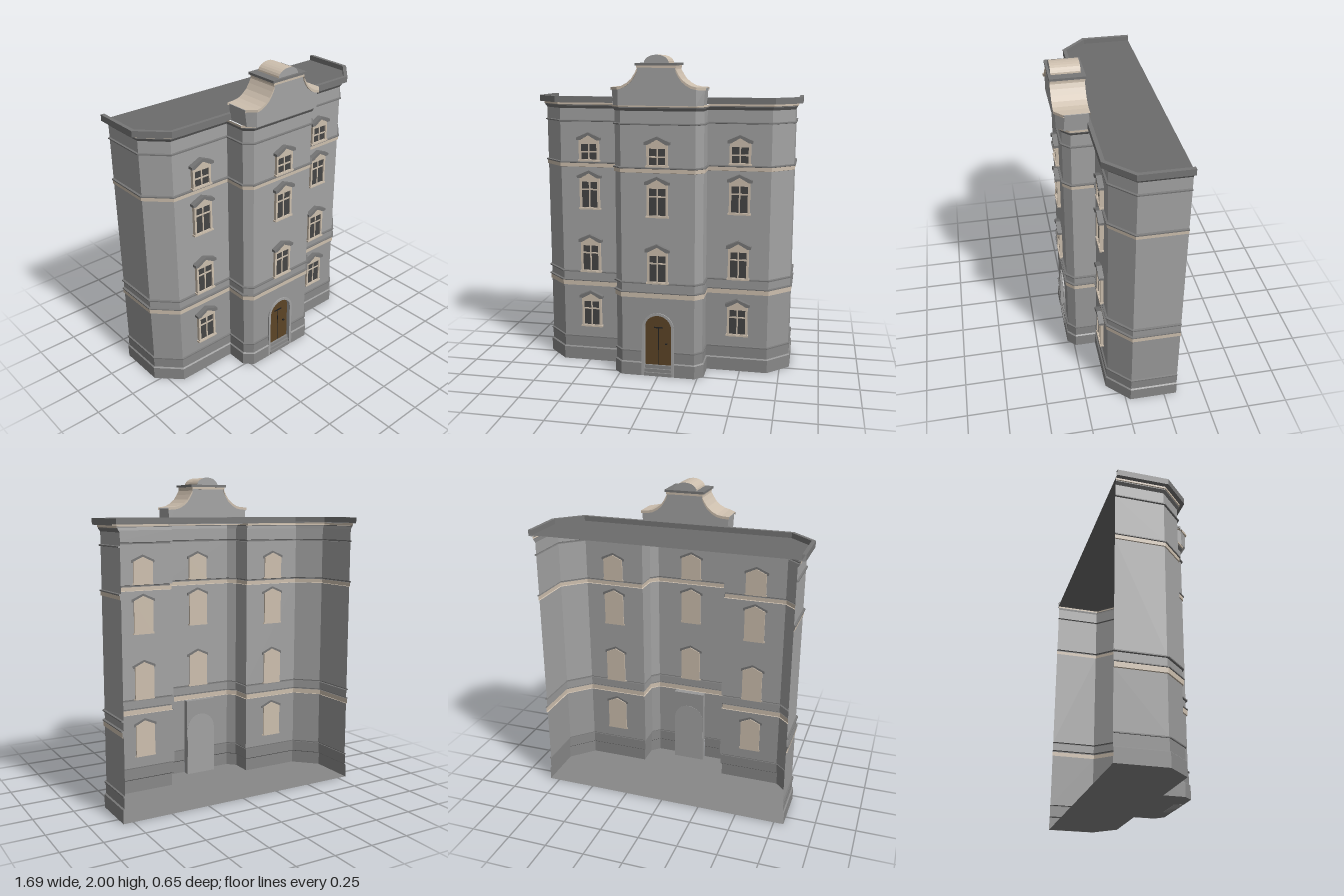
import * as THREE from 'three';

const mat = (color) => new THREE.MeshStandardMaterial({ color, flatShading: true, side: THREE.DoubleSide });
const M = {
  wall: mat(0xa3a3a3), lower: mat(0x999999), base: mat(0x888888), roof: mat(0x6c6c6c),
  trim: mat(0xcdbfae), dark: mat(0x777777), glass: mat(0x444444), door: mat(0x5c4426), metal: mat(0x222222),
};
const mirror = (half) => [...half, ...half.map(([x, z]) => [-x, z]).reverse()];

// Half plans as [x, z], running from the open back towards the front
const BACK = -0.33, WALL_Z = 0.095, BAY_Z = 0.28;
const mainHalf = [[0.8, BACK], [0.8, -0.035], [0.67, WALL_Z]];
const bayHalf = [...mainHalf, [0.275, WALL_Z], [0.275, 0.235], [0.23, BAY_Z]];
const mainPlan = mirror(mainHalf), fullPlan = mirror(bayHalf);
const doorRight = [...bayHalf, [0.105, BAY_Z]];
const doorLeft = doorRight.map(([x, z]) => [-x, z]).reverse();

// Plan moved outwards by d with mitred corners
function offset(path, d) {
  const normals = path.slice(1).map(([x, z], i) => {
    const dx = x - path[i][0], dz = z - path[i][1], l = Math.hypot(dx, dz);
    return [dz / l, -dx / l];
  });
  return path.map(([x, z], i) => {
    const a = normals[Math.max(0, i - 1)], b = normals[Math.min(i, normals.length - 1)];
    const k = d / (1 + a[0] * b[0] + a[1] * b[1]);
    return [x + (a[0] + b[0]) * k, z + (a[1] + b[1]) * k];
  });
}

// Surface through rows of 3D points
function ribbon(rows) {
  const pos = [];
  for (let j = 0; j + 1 < rows.length; j++)
    for (let i = 0; i + 1 < rows[j].length; i++) {
      const a = rows[j][i], b = rows[j][i + 1], c = rows[j + 1][i + 1], d = rows[j + 1][i];
      pos.push(...a, ...d, ...c, ...a, ...c, ...b);
    }
  const g = new THREE.BufferGeometry();
  g.setAttribute('position', new THREE.Float32BufferAttribute(pos, 3));
  g.computeVertexNormals();
  return g;
}

// Profile of [offset, y] carried along a plan
const sweep = (path, profile) =>
  ribbon(profile.map(([d, y]) => offset(path, d).map(([x, z]) => [x, y, z])));

function add(parent, name, geometry, material, x = 0, y = 0, z = 0) {
  const m = new THREE.Mesh(geometry, material);
  m.name = name;
  m.position.set(x, y, z);
  parent.add(m);
  return m;
}
const box = (w, h, d) => new THREE.BoxGeometry(w, h, d);
const poly = (pts) => new THREE.Shape(pts.map(([x, y]) => new THREE.Vector2(x, y)));
const extrude = (shape, depth) => new THREE.ExtrudeGeometry(shape, { depth, bevelEnabled: false, curveSegments: 8 });
const slab = (path, y) => new THREE.ShapeGeometry(poly(path.map(([x, z]) => [x, -z]))).rotateX(-Math.PI / 2).translate(0, y, 0);

// Window with sill, glazing bars and pointed hood; h is the height up to the hood
function makeWindow(h) {
  const g = new THREE.Group();
  g.name = 'window';
  const w = 0.065, top = h + 0.05;
  const outline = [[-w, 0], [w, 0], [w, h + 0.02], [0, top], [-w, h + 0.02]];
  add(g, 'windowPanel', extrude(poly(outline), 0.02), M.trim, 0, 0, -0.012);
  const frame = poly(outline);
  frame.holes.push(poly([[-0.051, 0.014], [-0.051, h - 0.01], [0.051, h - 0.01], [0.051, 0.014]]));
  add(g, 'windowFrame', extrude(frame, 0.01), M.trim, 0, 0, 0.008);
  add(g, 'glass', box(0.102, h - 0.02, 0.002), M.glass, 0, h / 2, 0.0085);
  add(g, 'mullion', box(0.009, h - 0.02, 0.006), M.trim, 0, h / 2, 0.011);
  add(g, 'transom', box(0.102, 0.009, 0.006), M.trim, 0, h - 0.06, 0.011);
  add(g, 'sill', box(0.142, 0.01, 0.03), M.trim, 0, 0.005, 0.007);
  const hood = poly([[-0.078, h + 0.014], [-0.055, h + 0.014], [0, h + 0.046], [0.055, h + 0.014], [0.078, h + 0.014],
    [0.078, h + 0.03], [0, h + 0.064], [-0.078, h + 0.03]]);
  add(g, 'windowHood', extrude(hood, 0.036), M.dark, 0, 0, -0.006);
  return g;
}

const archShape = (w, y0, spring) => {
  const s = new THREE.Shape();
  s.moveTo(-w, y0); s.lineTo(w, y0); s.lineTo(w, spring);
  s.absarc(0, spring, w, 0, Math.PI, false);
  s.lineTo(-w, y0);
  return s;
};

function makeDoor() {
  const g = new THREE.Group();
  g.name = 'entrance';
  const infill = poly([[-0.105, 0], [0.105, 0], [0.105, 0.515], [-0.105, 0.515]]);
  infill.holes.push(archShape(0.088, 0.001, 0.315));
  add(g, 'doorWall', extrude(infill, 0.04), M.lower, 0, 0, BAY_Z - 0.04);
  const ring = archShape(0.102, 0.0, 0.315);
  ring.holes.push(archShape(0.086, 0.001, 0.315));
  add(g, 'doorSurround', extrude(ring, 0.05), M.wall, 0, 0, 0.238);
  add(g, 'door', extrude(archShape(0.087, 0.06, 0.315), 0.01), M.door, 0, 0, 0.25);
  add(g, 'doorBack', extrude(archShape(0.1, 0.0, 0.315), 0.008), M.wall, 0, 0, 0.238);
  add(g, 'doorSeam', box(0.004, 0.25, 0.003), M.metal, 0, 0.19, 0.26);
  add(g, 'doorTransom', box(0.06, 0.008, 0.006), M.metal, 0, 0.315, 0.261);
  add(g, 'doorHandle', box(0.012, 0.008, 0.012), M.metal, 0.05, 0.21, 0.264);
  for (let i = 0; i < 3; i++) {
    const d = 0.052 - i * 0.01;
    add(g, 'step', box(0.176, 0.022, d), M.base, 0, 0.011 + i * 0.022, 0.24 + d / 2);
  }
  return g;
}

// Curved gable over the bay, with chamfered front corners
function makeGable() {
  const g = new THREE.Group();
  g.name = 'gable';
  const half = [[0.283, 1.805], [0.235, 1.808], [0.205, 1.815], [0.175, 1.832], [0.148, 1.855], [0.128, 1.885], [0.115, 1.91], [0.112, 1.935]];
  const top = mirror(half), rear = 0.13;
  const front = (x) => 0.312 - Math.max(0, Math.abs(x) - 0.235);
  const foot = (x) => Math.sign(x) * Math.min(Math.abs(x), 0.275);
  add(g, 'gableBody', ribbon([
    top.map(([x]) => [foot(x), 1.705, rear]),
    top.map(([x, y]) => [x, y, rear]),
    top.map(([x, y]) => [x, y, front(x)]),
    top.map(([x]) => [foot(x), 1.705, front(x)]),
  ]), M.wall);
  for (const s of [-1, 1])
    add(g, 'gableSide', ribbon([
      [[s * 0.275, 1.705, rear], [s * 0.275, 1.705, front(0.275)]],
      [[s * 0.283, 1.805, rear], [s * 0.283, 1.805, front(0.283)]],
    ]), M.wall);
  const lip = (dy, z) => top.map(([x, y]) => [x * 1.015, y + dy, z(x)]);
  add(g, 'gableCoping', ribbon([
    lip(-0.01, () => 0.122), lip(0.006, () => 0.122),
    lip(0.006, (x) => front(x) + 0.01), lip(-0.01, (x) => front(x) + 0.01), lip(-0.01, front),
  ]), M.trim);
  add(g, 'gableCap', box(0.235, 0.014, 0.2), M.trim, 0, 1.932, 0.22);
  add(g, 'gableCapTop', box(0.254, 0.014, 0.21), M.dark, 0, 1.946, 0.22);
  const crown = extrude(poly(Array.from({ length: 13 }, (_, i) => {
    const a = (i / 12) * Math.PI;
    return [0.075 * Math.cos(a), 0.05 * Math.sin(a)];
  })), 0.172);
  add(g, 'gableCrown', crown, [M.wall, M.trim], 0, 1.95, 0.138);
  return g;
}

export function createModel() {
  const model = new THREE.Group();
  model.name = 'townhouse';

  // Ground storey, left open for the entrance
  for (const p of [doorRight, doorLeft]) {
    add(model, 'plinth', sweep(p, [[0.012, 0], [0.012, 0.083], [0.004, 0.09], [0.004, 0.157]]), M.base);
    add(model, 'plinthLedge', sweep(p, [[0.004, 0.157], [0.01, 0.158], [0.01, 0.165], [0, 0.168]]), M.dark);
    add(model, 'groundWall', sweep(p, [[0, 0.168], [0, 0.515]]), M.lower);
  }

  // Upper walls and string courses
  const courses = [
    ['lowerBand', M.trim, [[0, 0.513], [0.008, 0.515], [0.008, 0.545]]],
    ['lowerBandLedge', M.dark, [[0.008, 0.545], [0.013, 0.547], [0.013, 0.553], [0, 0.556]]],
    ['apronWall', M.lower, [[0, 0.556], [0, 0.604]]],
    ['sillCourse', M.dark, [[0, 0.604], [0.012, 0.606], [0.012, 0.613], [0, 0.616]]],
    ['upperWall', M.wall, [[0, 0.616], [0, 1.3]]],
    ['upperBand', M.trim, [[0, 1.3], [0.006, 1.302], [0.006, 1.325]]],
    ['upperBandLedge', M.dark, [[0.006, 1.325], [0.012, 1.327], [0.012, 1.334], [0, 1.337]]],
    ['topWall', M.wall, [[0, 1.337], [0, 1.588]]],
    ['friezeLedge', M.dark, [[0, 1.588], [0.01, 1.59], [0.01, 1.597], [0, 1.6]]],
    ['frieze', M.wall, [[0, 1.6], [0, 1.672]]],
    ['corniceCove', M.dark, [[0, 1.672], [0.012, 1.69], [0.012, 1.695]]],
    ['corniceBand', M.trim, [[0.012, 1.695], [0.017, 1.697], [0.017, 1.71]]],
  ];
  for (const [name, material, profile] of courses) add(model, name, sweep(fullPlan, profile), material);

  // Eaves rim, roof and floor
  add(model, 'eaves', sweep(mainPlan, [[0, 1.708], [0.043, 1.71], [0.043, 1.748], [0.02, 1.748], [0.02, 1.715]]), M.dark);
  add(model, 'roof', slab(offset(mainPlan, 0.022), 1.716), M.roof);
  add(model, 'floor', slab(offset(fullPlan, 0.012), 0.001), M.base);

  // Windows: [sill height, height to hood, whether the bay has one]
  for (const [y, h, bay] of [[0.237, 0.185, false], [0.61, 0.19, true], [1.028, 0.19, true], [1.338, 0.122, true]])
    for (const x of bay ? [-0.48, 0, 0.48] : [-0.48, 0.48]) {
      const win = makeWindow(h);
      win.position.set(x, y, x === 0 ? BAY_Z : WALL_Z + 0.003);
      model.add(win);
    }

  model.add(makeDoor(), makeGable());
  return model;
}
